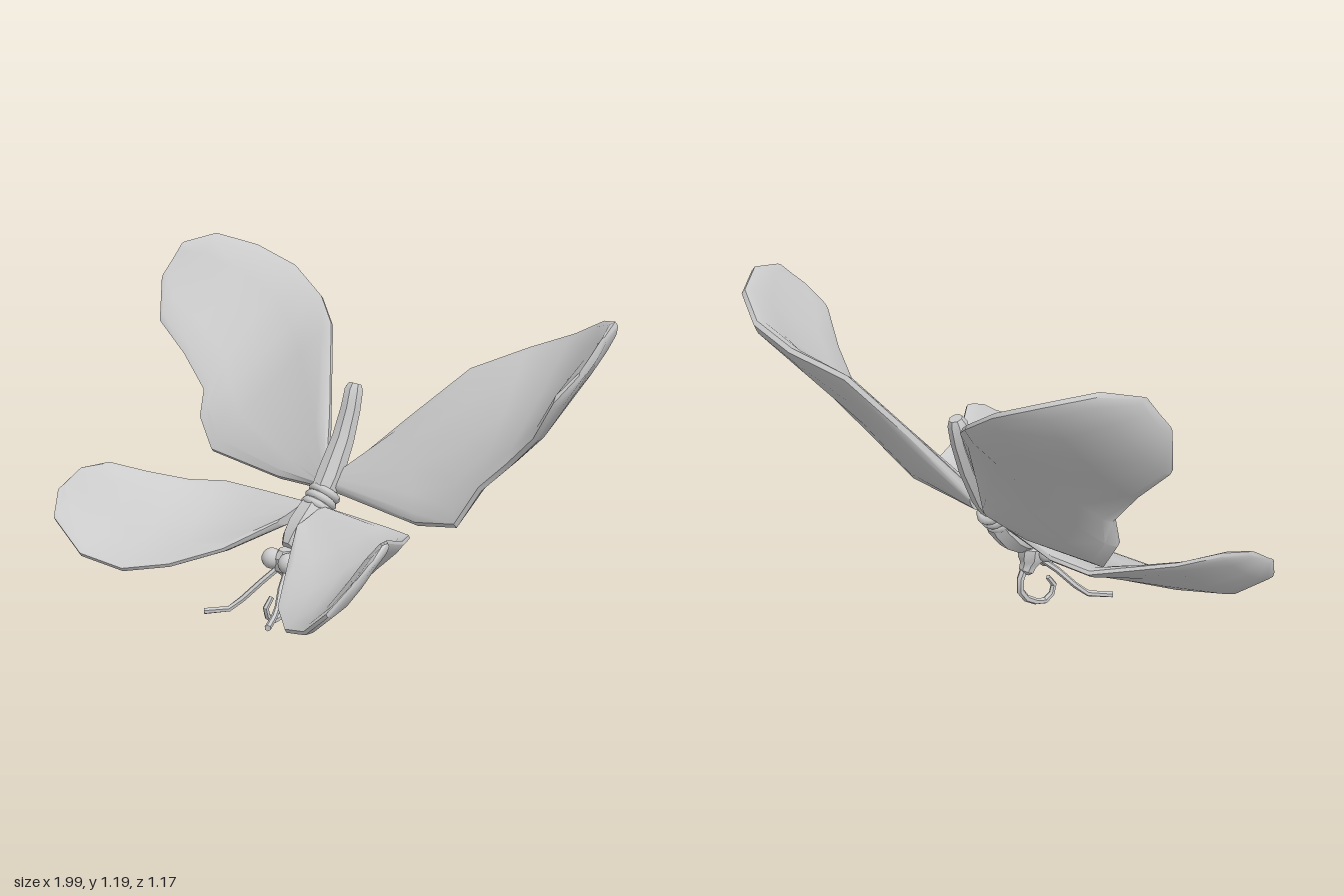
import * as THREE from 'three';
import { toCreasedNormals } from 'three/addons/utils/BufferGeometryUtils.js';

const material = new THREE.MeshStandardMaterial({ color: 0xcccccc, side: THREE.DoubleSide });
const V = (p) => new THREE.Vector3(...p);
const CX = -0.012; // the body sits slightly off centre

// Skins a list of equal-length closed loops and caps both ends.
function skin(name, loops, crease) {
  const n = loops[0].length, pos = [], index = [];
  loops.forEach((loop) => loop.forEach((p) => pos.push(p.x, p.y, p.z)));
  for (let i = 0; i < loops.length - 1; i++) {
    for (let j = 0; j < n; j++) {
      const a = i * n + j, b = i * n + (j + 1) % n;
      index.push(a, b, b + n, a, b + n, a + n);
    }
  }
  const last = (loops.length - 1) * n;
  for (let j = 1; j < n - 1; j++) {
    index.push(0, j + 1, j, last, last + j, last + j + 1);
  }
  const geo = new THREE.BufferGeometry();
  geo.setAttribute('position', new THREE.Float32BufferAttribute(pos, 3));
  geo.setIndex(index);
  const mesh = new THREE.Mesh(toCreasedNormals(geo, crease), material);
  mesh.name = name;
  return mesh;
}

// Round-section limb through points [x, y, z, radius].
function limb(name, stations, sides = 8) {
  const pts = stations.map((s) => V(s.slice(0, 3)));
  const loops = pts.map((p, i) => {
    const d = pts[Math.min(i + 1, pts.length - 1)].clone().sub(pts[Math.max(i - 1, 0)]).normalize();
    const a = new THREE.Vector3(1, 0, 0).addScaledVector(d, -d.x).normalize();
    const b = d.clone().cross(a);
    return Array.from({ length: sides }, (_, j) => {
      const t = ((j + 0.5) / sides) * Math.PI * 2, r = stations[i][3];
      return p.clone().addScaledVector(a, r * Math.cos(t)).addScaledVector(b, r * Math.sin(t));
    });
  });
  return skin(name, loops, 0.6);
}

// Chord stations of a wing section and the relative thickness at each: a bevelled rim.
const CHORD = [[0, 0.35], [0.07, 0.85], [0.25, 1], [0.5, 1.05], [0.75, 1], [0.93, 0.85], [1, 0.35]];

// Wing from its outline: leading edge root to tip, then trailing edge back to the root.
// sag dishes the section, wave bends it into a shallow S.
function wing(name, outline, half, sag, wave) {
  const pts = outline.map(V), count = pts.length / 2, m = count >> 1;
  const centre = pts[m].clone().lerp(pts[pts.length - 1 - m], 0.5);
  pts.forEach((p) => p.addScaledVector(p.clone().sub(centre).normalize(), 0.012)); // room for the bevel
  const lead = pts.slice(0, count), trail = pts.slice(count).reverse();
  const chord = trail[m].clone().sub(lead[m]);
  const span = centre.clone().sub(lead[0].clone().lerp(trail[0], 0.5));
  const normal = chord.clone().cross(span).normalize();
  if (normal.y < 0) normal.negate();
  const flip = chord.clone().cross(normal).dot(span) > 0;
  const loops = lead.map((l, i) => {
    const depth = Math.min(1, l.distanceTo(trail[i]) / 0.4);
    const thin = i === count - 1 ? 0.5 : 1;
    const point = ([u, thick], side) => {
      const bend = sag * Math.sin(Math.PI * u) + wave * Math.sin(2 * Math.PI * u);
      return l.clone().lerp(trail[i], u)
        .addScaledVector(normal, side * half * thick * thin - bend * depth);
    };
    const top = CHORD.map((c) => point(c, 1)), under = CHORD.map((c) => point(c, -1));
    const loop = [...top, ...under.reverse()];
    return flip ? loop.reverse() : loop;
  });
  return skin(name, loops, 0.8);
}

export function createModel() {
  const model = new THREE.Group();

  // Wings, each posed a little differently
  model.add(
    wing('leftUpperWing', [
      [0.03, 0.49, -0.14], [0.2, 0.685, -0.285], [0.36, 0.86, -0.42], [0.51, 0.935, -0.535],
      [0.66, 0.995, -0.575], [0.8, 1.06, -0.54], [0.93, 1.09, -0.43], [0.985, 1.07, -0.31],
      [0.985, 0.97, -0.2], [0.94, 0.885, -0.145], [0.86, 0.765, -0.155], [0.75, 0.665, -0.165],
      [0.67, 0.58, -0.13], [0.6, 0.45, -0.095], [0.42, 0.412, -0.105], [0.03, 0.435, -0.11],
    ], 0.026, 0.012, 0),
    wing('rightUpperWing', [
      [-0.055, 0.49, -0.14], [-0.17, 0.65, -0.25], [-0.385, 0.91, -0.45], [-0.52, 0.98, -0.525],
      [-0.68, 1.07, -0.545], [-0.83, 1.135, -0.495], [-0.94, 1.178, -0.39], [-0.985, 1.155, -0.27],
      [-0.985, 1.03, -0.165], [-0.935, 0.885, -0.118], [-0.82, 0.78, -0.138], [-0.715, 0.665, -0.14],
      [-0.705, 0.57, -0.11], [-0.625, 0.465, -0.095], [-0.28, 0.428, -0.11], [-0.055, 0.435, -0.11],
    ], 0.026, 0.012, 0),
    wing('leftLowerWing', [
      [0.045, 0.335, 0.09], [0.17, 0.26, 0.24], [0.326, 0.212, 0.41], [0.47, 0.207, 0.51],
      [0.61, 0.25, 0.565], [0.71, 0.33, 0.57], [0.725, 0.4, 0.49],
      [0.72, 0.455, 0.39], [0.69, 0.478, 0.31], [0.565, 0.43, 0.195], [0.52, 0.395, 0.08],
      [0.47, 0.388, 0.0], [0.36, 0.382, -0.025], [0.045, 0.38, -0.045],
    ], 0.019, 0.013, 0.008),
    wing('rightLowerWing', [
      [-0.07, 0.335, 0.09], [-0.18, 0.25, 0.24], [-0.31, 0.195, 0.365], [-0.45, 0.165, 0.45],
      [-0.61, 0.19, 0.505], [-0.74, 0.29, 0.52], [-0.785, 0.37, 0.47],
      [-0.785, 0.43, 0.36], [-0.755, 0.435, 0.27], [-0.67, 0.398, 0.17], [-0.57, 0.372, 0.07],
      [-0.5, 0.363, -0.04], [-0.34, 0.36, -0.068], [-0.07, 0.375, -0.055],
    ], 0.019, 0.013, 0.008),
  );

  // Body
  model.add(
    limb('abdomen', [
      [CX, 0.4, -0.06, 0.044], [CX, 0.48, -0.11, 0.05], [CX, 0.6, -0.17, 0.042],
      [CX, 0.7, -0.205, 0.037], [CX, 0.765, -0.22, 0.034], [CX, 0.785, -0.227, 0.024],
    ]),
    limb('thorax', [
      [CX, 0.41, -0.07, 0.048], [CX, 0.36, -0.035, 0.062], [CX, 0.31, 0.01, 0.066],
      [CX, 0.275, 0.05, 0.053], [CX, 0.255, 0.075, 0.035],
    ]),
    limb('head', [
      [CX, 0.258, 0.09, 0.028], [CX, 0.235, 0.088, 0.048], [CX, 0.195, 0.083, 0.048],
      [CX, 0.172, 0.073, 0.032], [CX, 0.15, 0.063, 0.028], [CX, 0.138, 0.058, 0.014],
    ]),
  );

  // Waist rings
  const axis = new THREE.Vector3(0, 0.75, -0.66).normalize();
  for (let i = -1; i <= 1; i++) {
    const ring = new THREE.Mesh(new THREE.TorusGeometry(0.043, 0.016, 8, 16), material);
    ring.name = 'waistRing';
    ring.position.set(CX, 0.4, -0.066).addScaledVector(axis, i * 0.027);
    ring.quaternion.setFromUnitVectors(new THREE.Vector3(0, 0, 1), axis);
    model.add(ring);
  }

  // Eyes and antennae
  for (const s of [1, -1]) {
    const side = s > 0 ? 'left' : 'right', drop = s > 0 ? 0 : 0.028;
    const eye = new THREE.Mesh(new THREE.SphereGeometry(0.036, 14, 10), material);
    eye.name = side + 'Eye';
    eye.position.set(CX + s * 0.042, 0.222, 0.12);
    model.add(eye, limb(side + 'Antenna', [
      [CX + s * 0.022, 0.19, 0.11, 0.011], [CX + s * 0.05, 0.145, 0.16, 0.011],
      [CX + s * 0.09, 0.1 - drop * 0.5, 0.21, 0.011], [CX + s * 0.115, 0.08 - drop, 0.25, 0.011],
      [CX + s * 0.165, 0.075 - drop, 0.32, 0.011],
    ], 6));
  }

  // Curled proboscis
  model.add(limb('proboscis', [
    [-0.012, 0.16, 0.055, 0.014], [-0.014, 0.125, 0.037, 0.014], [-0.016, 0.08, 0.035, 0.014],
    [-0.018, 0.045, 0.06, 0.013], [-0.02, 0.022, 0.1, 0.012], [-0.02, 0.013, 0.14, 0.012],
    [-0.02, 0.033, 0.17, 0.011], [-0.018, 0.065, 0.18, 0.011], [-0.016, 0.1, 0.155, 0.009],
  ], 6));

  return model;
}
